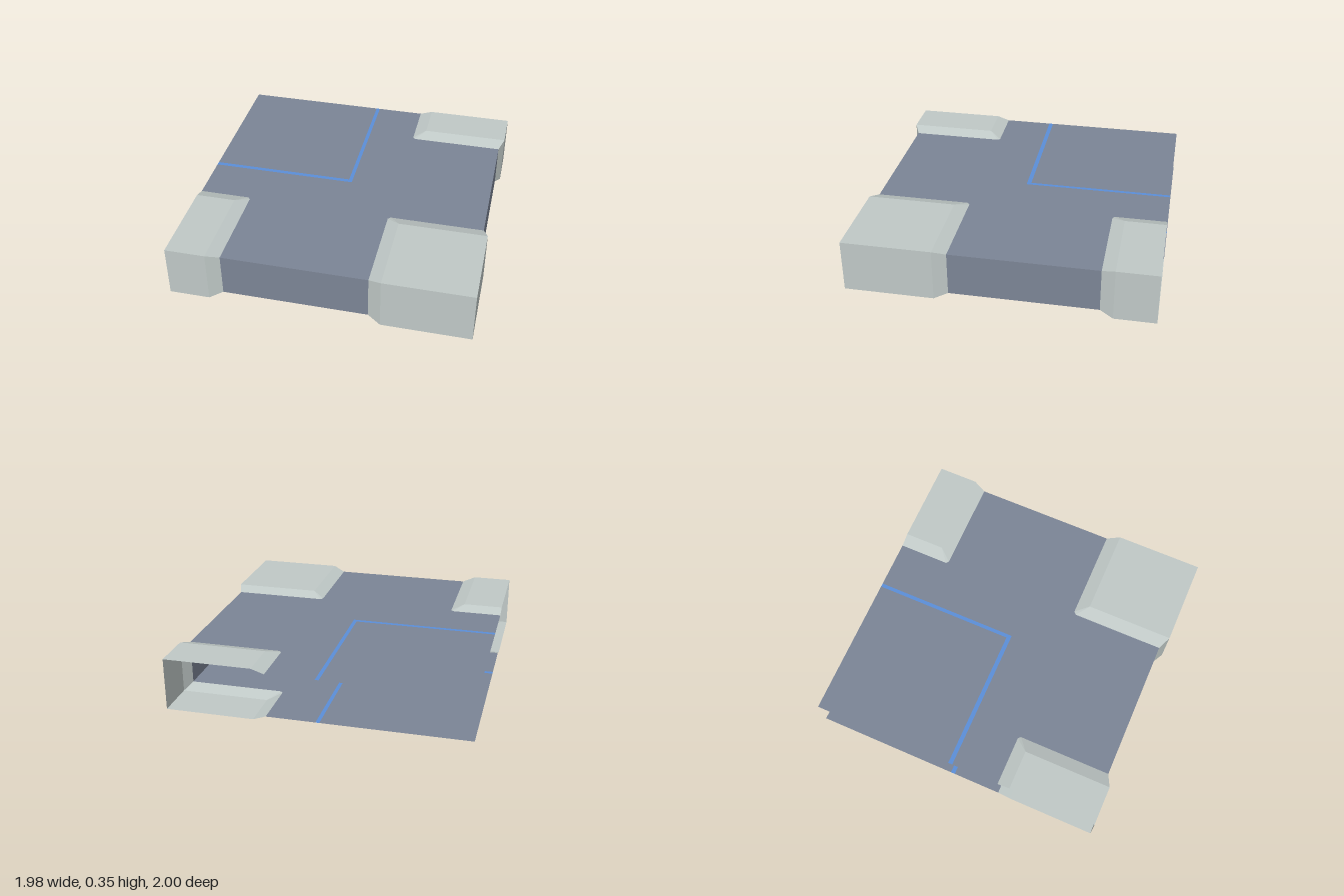
import * as THREE from 'three';

const X = 0.988, Z = 1;            // outer faces of the corner caps
const XW = 0.955, ZW = 0.96;       // recessed walls
const LOW = 0.03, HIGH = 0.322;    // recessed slabs
const H = 0.35;                    // full height

const mat = (name, color) => {
  const m = new THREE.MeshStandardMaterial({ color, side: THREE.DoubleSide });
  m.name = name;
  return m;
};

// Flat horizontal sheet from [x, z] points, facing up or down
function sheet(name, pts, y, up, material) {
  const s = up ? -1 : 1;
  const shape = new THREE.Shape(pts.map(([x, z]) => new THREE.Vector2(x, s * z)));
  const geo = new THREE.ShapeGeometry(shape).rotateX(s * Math.PI / 2);
  const mesh = new THREE.Mesh(geo, material);
  mesh.name = name;
  mesh.position.y = y;
  return mesh;
}

// Flat-shaded surface from quads, each turned away from the given centre
function quadMesh(name, quads, centre, material) {
  const pos = [];
  for (const q of quads) {
    let v = q.map((p) => new THREE.Vector3(...p));
    const n = v[1].clone().sub(v[0]).cross(v[2].clone().sub(v[0]));
    const mid = v[0].clone().add(v[2]).multiplyScalar(0.5).sub(centre);
    if (n.dot(mid) < 0) v = v.reverse();
    for (const i of [0, 1, 2, 0, 2, 3]) pos.push(v[i].x, v[i].y, v[i].z);
  }
  const geo = new THREE.BufferGeometry();
  geo.setAttribute('position', new THREE.Float32BufferAttribute(pos, 3));
  geo.computeVertexNormals();
  const mesh = new THREE.Mesh(geo, material);
  mesh.name = name;
  return mesh;
}

// Upright strip between two [x, z] points, each with its own bottom and top
const upright = (a, b, a0, a1, b0, b1) => [
  [a[0], a0, a[1]], [b[0], b0, b[1]], [b[0], b1, b[1]], [a[0], a1, a[1]],
];

// Raised cap: base edge on the slab, rim at full height, outer corner.
// wallStart / wallEnd close the outer sides at either end of the rim.
function cornerCap(name, base, rim, corner, wallStart, wallEnd, material) {
  const group = new THREE.Group();
  group.name = name;
  const last = rim.length - 1;
  const centre = new THREE.Vector3((rim[0][0] + rim[last][0]) / 2, H / 2, (rim[0][1] + rim[last][1]) / 2);
  const quads = [];
  for (let i = 0; i < last; i++) {
    for (const [yb, yr] of [[HIGH, H], [LOW, 0]]) {
      quads.push([
        [base[i][0], yb, base[i][1]], [base[i + 1][0], yb, base[i + 1][1]],
        [rim[i + 1][0], yr, rim[i + 1][1]], [rim[i][0], yr, rim[i][1]],
      ]);
    }
  }
  for (const [on, i] of [[wallStart, 0], [wallEnd, last]]) {
    if (!on) continue;
    quads.push(upright(base[i], rim[i], LOW, HIGH, 0, H));
    quads.push(upright(rim[i], corner, 0, H, 0, H));
  }
  group.add(quadMesh('capSides', quads, centre, material));
  group.add(sheet('capTop', [...rim, corner], H, true, material));
  group.add(sheet('capBottom', [...rim, corner], 0, false, material));
  return group;
}

export function createModel() {
  const model = new THREE.Group();
  model.name = 'floorPanel';
  const slate = mat('slate', 0x7c8596);
  const paleGrey = mat('paleGrey', 0xc0c9c7);
  const blue = mat('blue', 0x5b8fd9);

  // Inner outlines of the three corner caps
  const frontLeftBase = [[0.32, ZW], [0.32, 0.34], [0.337, 0.323], [XW, 0.323]];
  const frontRightBase = [[-0.637, ZW], [-0.637, 0.336], [-0.652, 0.32], [-X, 0.32]];
  const backLeftBase = [[0.32, -Z], [0.32, -0.657], [0.337, -0.642], [XW, -0.642]];

  // Slabs, split around the painted right-angle line
  const s0 = -0.003, sx = -0.028, sz = -0.035, s1 = -0.006;
  const cross = [
    ...backLeftBase,
    ...frontLeftBase.slice().reverse(),
    ...frontRightBase,
    [-X, s1], [s0, s1], [s0, -Z],
  ];
  const quarter = [[-X, -Z], [sx, -Z], [sx, sz], [-X, sz]];
  const line = [[-X, s1], [s0, s1], [s0, -Z], [sx, -Z], [sx, sz], [-X, sz]];
  for (const [label, y, up] of [['top', HIGH, true], ['bottom', LOW, false]]) {
    model.add(sheet(label + 'Slab', cross, y, up, slate));
    model.add(sheet(label + 'SlabQuarter', quarter, y, up, slate));
    model.add(sheet(label + 'Line', line, y, up, blue));
  }

  // Recessed walls on the front and left; the other two sides stay open
  model.add(quadMesh('walls', [
    upright([-0.637, ZW], [0.32, ZW], LOW, HIGH, LOW, HIGH),
    upright([XW, 0.323], [XW, -0.642], LOW, HIGH, LOW, HIGH),
  ], new THREE.Vector3(0, H / 2, 0), slate));

  // Raised corner caps
  model.add(cornerCap('frontLeftCap', frontLeftBase,
    [[0.405, Z], [0.405, 0.411], [0.406, 0.41], [X, 0.41]], [X, Z], true, true, paleGrey));
  model.add(cornerCap('frontRightCap', frontRightBase,
    [[-0.722, Z], [-0.722, 0.406], [-0.723, 0.405], [-X, 0.405]], [-X, Z], true, false, paleGrey));
  model.add(cornerCap('backLeftCap', backLeftBase,
    [[0.405, -Z], [0.405, -0.729], [0.406, -0.728], [X, -0.728]], [X, -Z], false, true, paleGrey));

  return model;
}
